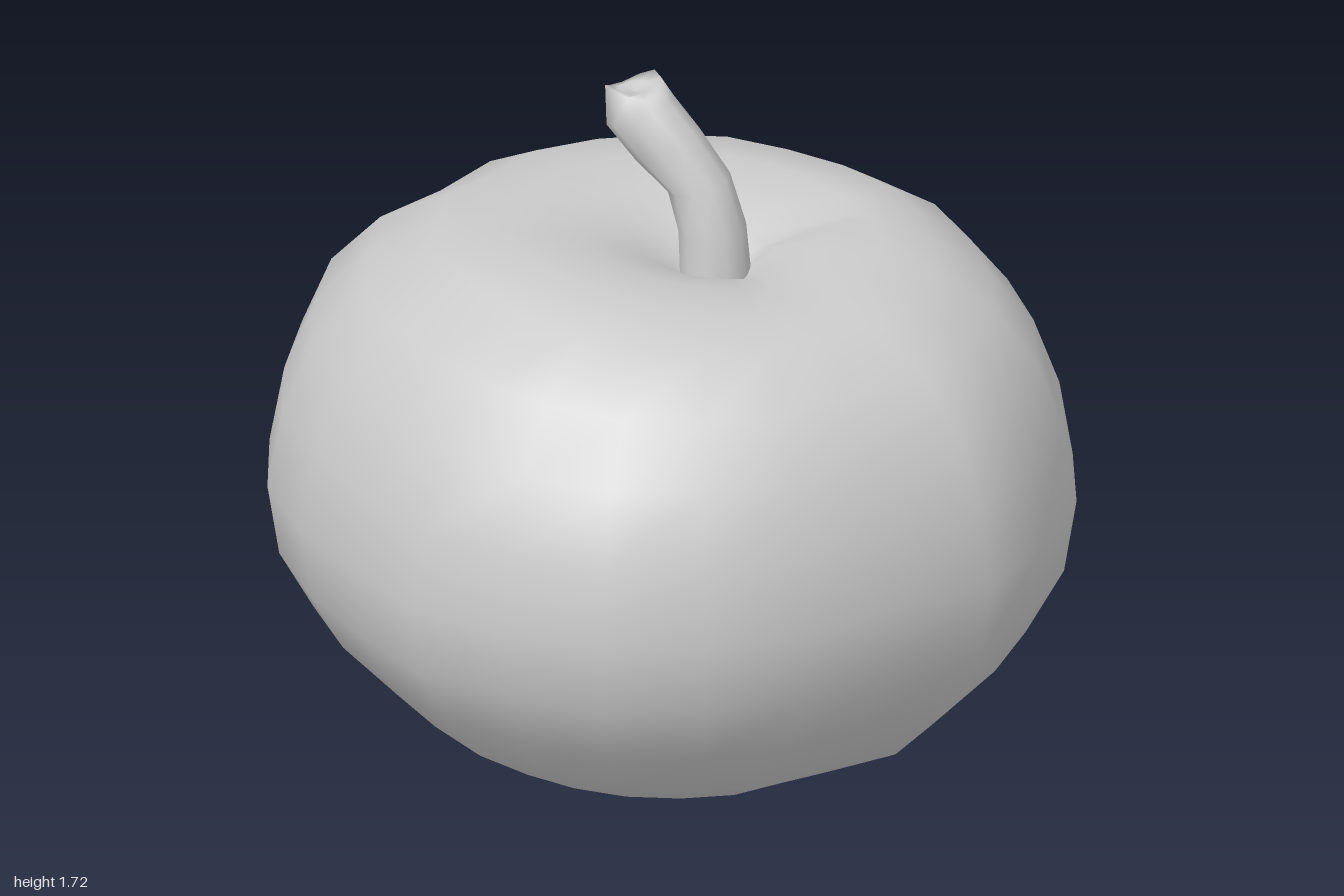
import * as THREE from 'three';

// Skin a list of closed rings (ordered top to bottom) with shared, smooth vertices
function loft(rings) {
  const n = rings[0].length, pos = [], idx = [];
  rings.forEach(ring => ring.forEach(p => pos.push(p.x, p.y, p.z)));
  for (let i = 0; i < rings.length - 1; i++) {
    for (let j = 0; j < n; j++) {
      const a = i * n + j, b = i * n + (j + 1) % n;
      idx.push(a, b, b + n, a, b + n, a + n);
    }
  }
  const g = new THREE.BufferGeometry();
  g.setAttribute('position', new THREE.Float32BufferAttribute(pos, 3));
  g.setIndex(idx);
  g.computeVertexNormals();
  return g;
}

function ring(n, place) {
  return Array.from({ length: n }, (_, j) => place(j / n * Math.PI * 2, j));
}

// Soft round swelling, 1 at its centre
function swell(x, z, cx, cz, width) {
  return Math.exp(-((x - cx) ** 2 + (z - cz) ** 2) / width ** 2);
}

// Uneven plan outline: radius every 15 degrees, from +x towards +z
const OUTLINE = [1.0, 1.02, 1.01, 1.03, 0.95, 0.99, 0.997, 1.013, 0.995, 0.997, 0.965, 0.975,
  1.0, 1.005, 1.04, 0.977, 1.03, 1.012, 1.0, 1.005, 0.97, 0.98, 1.0, 0.985];

// Radius and height from the stem hollow over the shoulder to the bottom hollow
const PROFILE = [[0, 1.2], [0.08, 1.24], [0.17, 1.31], [0.3, 1.345], [0.46, 1.355], [0.62, 1.33],
  [0.78, 1.235], [0.895, 1.1], [0.965, 0.92], [1, 0.72], [0.97, 0.53], [0.88, 0.365], [0.72, 0.195],
  [0.52, 0.08], [0.36, 0.045], [0.22, 0.055], [0.11, 0.1], [0, 0.13]];

// Creases running out of the stem hollow: angle and depth
const CREASES = [[-0.52, 0.05], [1.05, 0.02]];

function bodyGeometry() {
  return loft(PROFILE.map(([r, y]) => ring(OUTLINE.length, (a, j) => {
    const top = y > 0.72;
    const shift = Math.pow(1 - r, 1.2);
    const rad = r * (1 + (OUTLINE[j] - 1) * Math.min(1, r * 1.2));
    const x = Math.cos(a) * rad + (top ? 0.12 : -0.05) * shift;
    const z = Math.sin(a) * rad + (top ? -0.04 : 0) * shift;
    const ends = Math.pow((y - 0.72) / 0.65, 2);
    let h = y;
    if (top) {
      // High shoulder on one side, falling towards the other
      h += (0.05 * swell(x, z, -0.36, 0.27, 0.38) - 0.025 * x) * ends;
      for (const [angle, depth] of CREASES) {
        const d = Math.atan2(Math.sin(a - angle), Math.cos(a - angle));
        h -= depth * Math.exp(-d * d / 0.08) * Math.exp(-Math.pow((r - 0.27) / 0.16, 2));
      }
    } else {
      // Leaning underside resting on one lobe
      h += (-0.055 * x - 0.02 * z) * ends - 0.055 * swell(x, z, -0.26, 0.23, 0.17);
    }
    return new THREE.Vector3(x, Math.max(h, 0), z);
  })));
}

// Bent stem: centre x, y, z, radius and sideways slope of each ring
const STEM = [
  [-0.07, 1.685, -0.17, 0, 0], [-0.07, 1.695, -0.17, 0.045, 0.1], [-0.075, 1.70, -0.175, 0.07, 0.1],
  [-0.06, 1.64, -0.16, 0.083, 0.45], [0.005, 1.56, -0.125, 0.08, 0.5],
  [0.08, 1.47, -0.085, 0.077, 0.3], [0.11, 1.36, -0.055, 0.084, 0.1], [0.12, 1.19, -0.04, 0.09, 0]];

function stemGeometry() {
  return loft(STEM.map(([x, y, z, r, slope], i) => ring(10, a => {
    const jag = i === 2 ? 0.018 * Math.cos(2 * a + 0.9) : 0;
    const dx = Math.cos(a) * r, dz = Math.sin(a) * r;
    return new THREE.Vector3(x + dx, y + dx * slope + dz * slope * 0.4 + jag, z + dz);
  })));
}

export function createModel() {
  const model = new THREE.Group();
  model.name = 'fruit';
  const material = new THREE.MeshStandardMaterial({ color: 0xcccccc });
  const add = (name, geometry) => {
    const mesh = new THREE.Mesh(geometry, material);
    mesh.name = name;
    model.add(mesh);
    return mesh;
  };
  add('body', bodyGeometry());
  add('stem', stemGeometry());

  // Small blossom nub in the bottom hollow
  const nub = add('blossomEnd', new THREE.SphereGeometry(0.1, 10, 7));
  nub.scale.set(1, 0.9, 0.9);
  nub.position.set(-0.05, 0.102, 0);
  return model;
}
